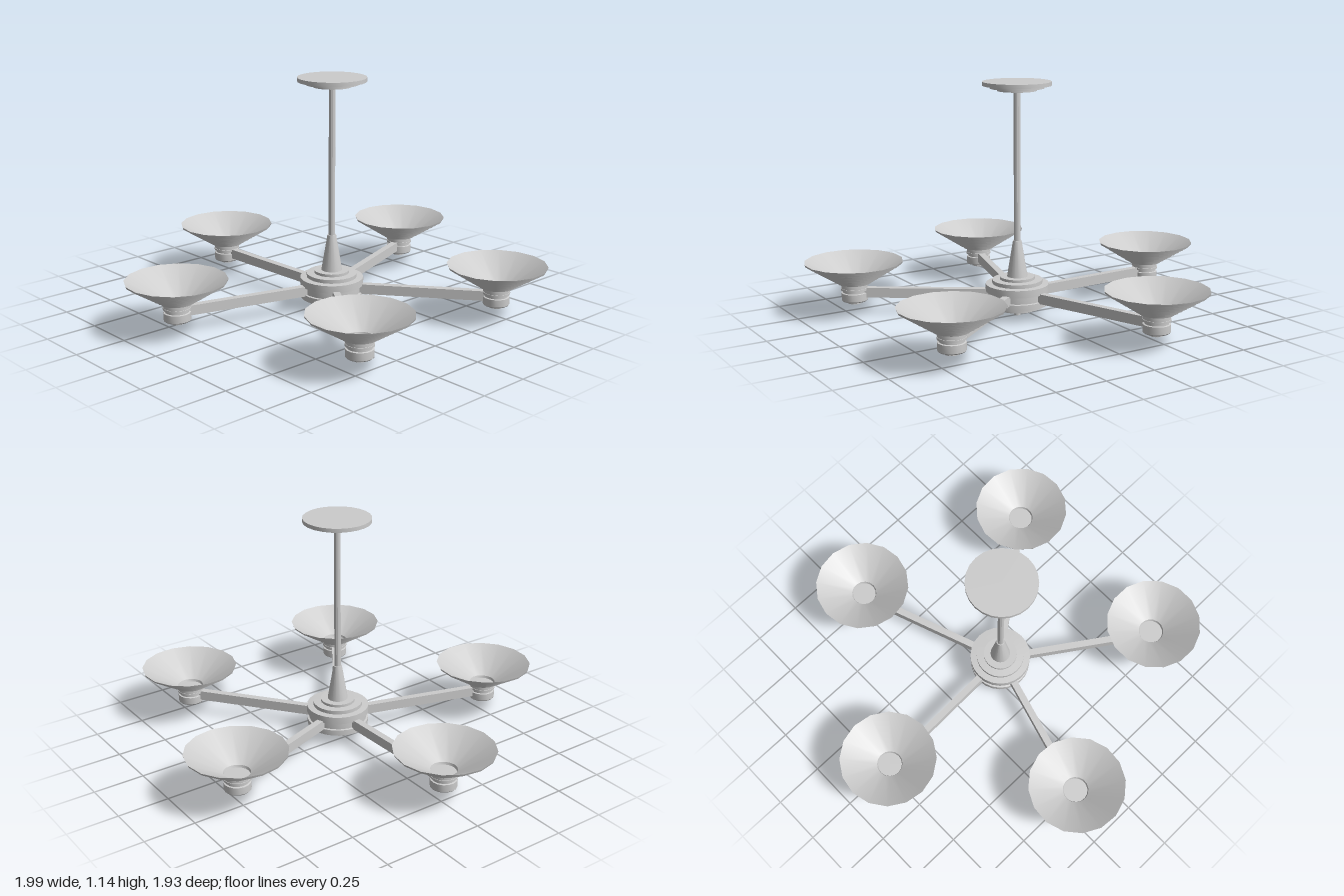
import * as THREE from 'three';
import { toCreasedNormals } from 'three/addons/utils/BufferGeometryUtils.js';

const material = new THREE.MeshStandardMaterial({ color: 0xcccccc });

// Turned part from [radius, height] pairs, listed from the bottom up
function turned(name, profile, sides) {
  const points = profile.map(([r, y]) => new THREE.Vector2(r, y));
  const geometry = toCreasedNormals(new THREE.LatheGeometry(points, sides), 0.5);
  const mesh = new THREE.Mesh(geometry, material);
  mesh.name = name;
  return mesh;
}

// Bowl: stepped rings outside, smooth funnel inside
function shadeProfile() {
  const steps = 8, r0 = 0.064, r1 = 0.24, y0 = 0.15, y1 = 0.262;
  const profile = [[0, y0 - 0.02], [r0, y0 - 0.02], [r0, y0]];
  for (let i = 1; i <= steps; i++) {
    const r = r0 + (r1 - r0) * i / steps;
    profile.push([r - 0.004, y0 + (y1 - y0) * (i - 0.75) / steps]);
    profile.push([r, y0 + (y1 - y0) * i / steps]);
  }
  profile.push([r0, y0 + 0.004], [r0 - 0.004, y0 - 0.008], [0, y0 - 0.008]);
  return profile;
}

function createArm() {
  const arm = new THREE.Group();
  const reach = 0.797;

  const bar = new THREE.Mesh(new THREE.BoxGeometry(0.66, 0.048, 0.034), material);
  bar.name = 'armBar';
  bar.position.set(0.43, 0.107, 0);
  arm.add(bar);

  // Lamp holder with a groove and a small nut underneath
  const cup = turned('lampCup', [
    [0, 0.065], [0.06, 0.065], [0.064, 0.07], [0.064, 0.106], [0.056, 0.108],
    [0.056, 0.118], [0.066, 0.12], [0.066, 0.13], [0.058, 0.132], [0.058, 0.14], [0, 0.14],
  ], 16);
  const nut = turned('cupNut', [[0, 0.052], [0.034, 0.052], [0.034, 0.067], [0, 0.067]], 12);
  const shade = turned('shade', shadeProfile(), 16);
  for (const part of [cup, nut, shade]) {
    part.position.x = reach;
    arm.add(part);
  }
  return arm;
}

export function createModel() {
  const model = new THREE.Group();
  model.name = 'chandelier';
  const fixture = new THREE.Group();
  fixture.name = 'fixture';
  fixture.position.z = 0.064;
  model.add(fixture);

  // Ceiling plate in three tiers
  fixture.add(turned('canopy', [
    [0, 1.096], [0.095, 1.096], [0.095, 1.108], [0.13, 1.108], [0.13, 1.121],
    [0.165, 1.121], [0.165, 1.14], [0, 1.14],
  ], 24));

  fixture.add(turned('rod', [[0.016, 0.36], [0.016, 1.1]], 12));

  fixture.add(turned('rodSleeve', [[0.053, 0.18], [0.021, 0.372], [0, 0.372]], 16));

  // Central hub, tiered above and below a grooved band
  fixture.add(turned('hub', [
    [0, 0.032], [0.095, 0.032], [0.095, 0.046], [0.128, 0.046], [0.128, 0.06],
    [0.152, 0.06], [0.152, 0.088], [0.142, 0.09], [0.142, 0.122], [0.154, 0.124],
    [0.154, 0.16], [0.122, 0.162], [0.122, 0.18], [0.085, 0.182], [0.085, 0.195], [0, 0.195],
  ], 24));

  fixture.add(turned('finial', [[0, 0], [0.016, 0], [0.016, 0.04]], 12));

  // Five arms spaced evenly around the hub
  for (let i = 0; i < 5; i++) {
    const arm = createArm();
    arm.name = `arm${i + 1}`;
    arm.rotation.y = -THREE.MathUtils.degToRad(-91.8 + 72 * i);
    fixture.add(arm);
  }
  return model;
}
